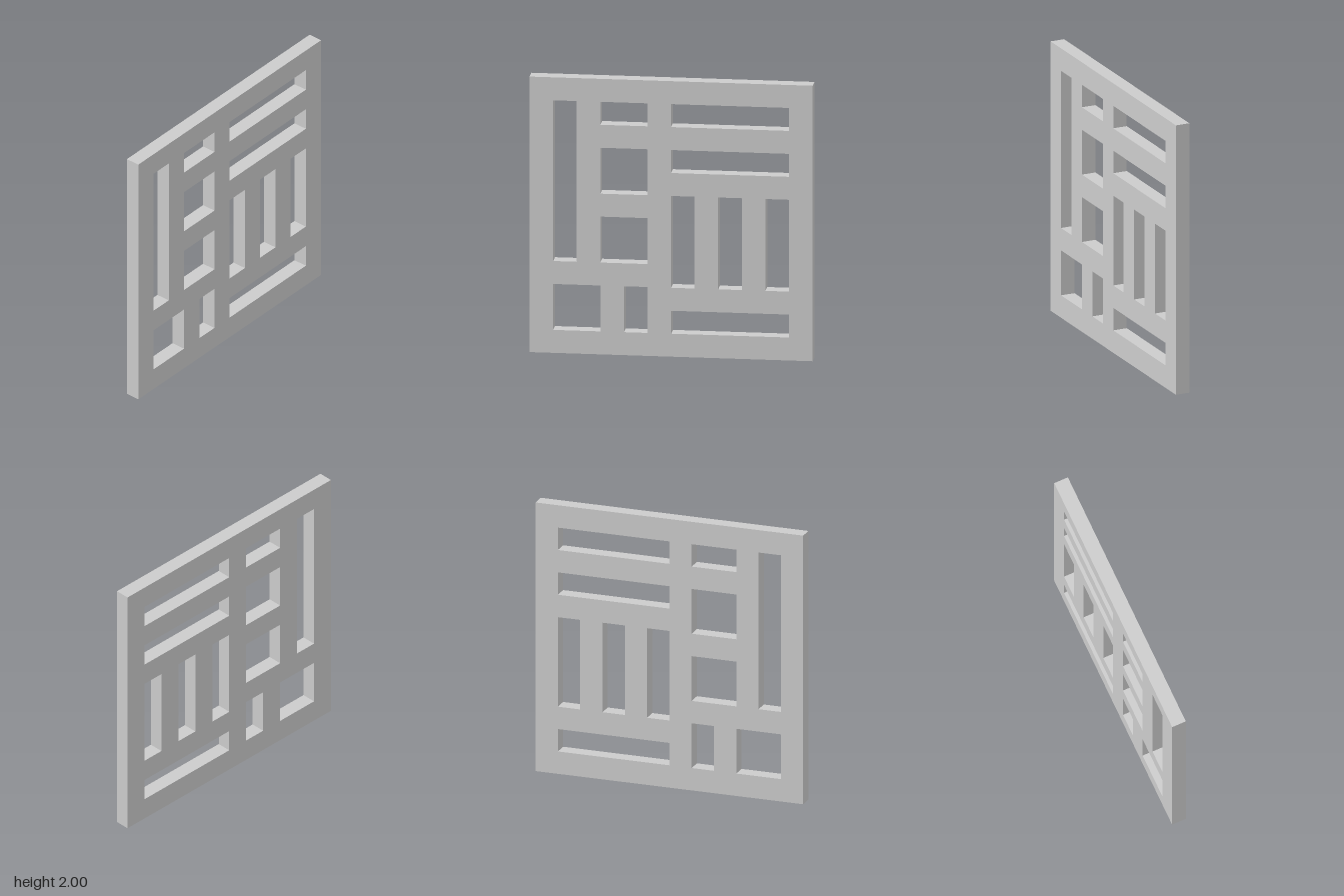
import * as THREE from 'three';

const CELL = 2 / 12; // the panel is laid out on a 12 x 12 grid
const DEPTH = 0.105;

// Openings in grid cells: [left, bottom, right, top]
const OPENINGS = [
  [1, 4, 2, 11],                               // tall slot
  [3, 10, 5, 11], [3, 7, 5, 9], [3, 4, 5, 6],  // middle column
  [1, 1, 3, 3], [4, 1, 5, 3],                  // lower corner
  [6, 10, 11, 11], [6, 8, 11, 9], [6, 1, 11, 2], // wide slots
  [6, 3, 7, 7], [8, 3, 9, 7], [10, 3, 11, 7],  // upright slots
];

function tracePanelRect(path, [left, bottom, right, top]) {
  const x = (i) => i * CELL - 1;
  const y = (j) => j * CELL;
  path.moveTo(x(left), y(bottom));
  path.lineTo(x(right), y(bottom));
  path.lineTo(x(right), y(top));
  path.lineTo(x(left), y(top));
  path.closePath();
  return path;
}

export function createModel() {
  const group = new THREE.Group();
  group.name = 'latticePanel';

  // Square slab with rectangular cut-outs
  const outline = tracePanelRect(new THREE.Shape(), [0, 0, 12, 12]);
  outline.holes = OPENINGS.map((o) => tracePanelRect(new THREE.Path(), o));
  const geometry = new THREE.ExtrudeGeometry(outline, { depth: DEPTH, bevelEnabled: false });
  geometry.translate(0, 0, -DEPTH / 2);

  const panel = new THREE.Mesh(
    geometry,
    new THREE.MeshStandardMaterial({ color: 0xcccccc, flatShading: true }),
  );
  panel.name = 'panel';
  group.add(panel);
  return group;
}
